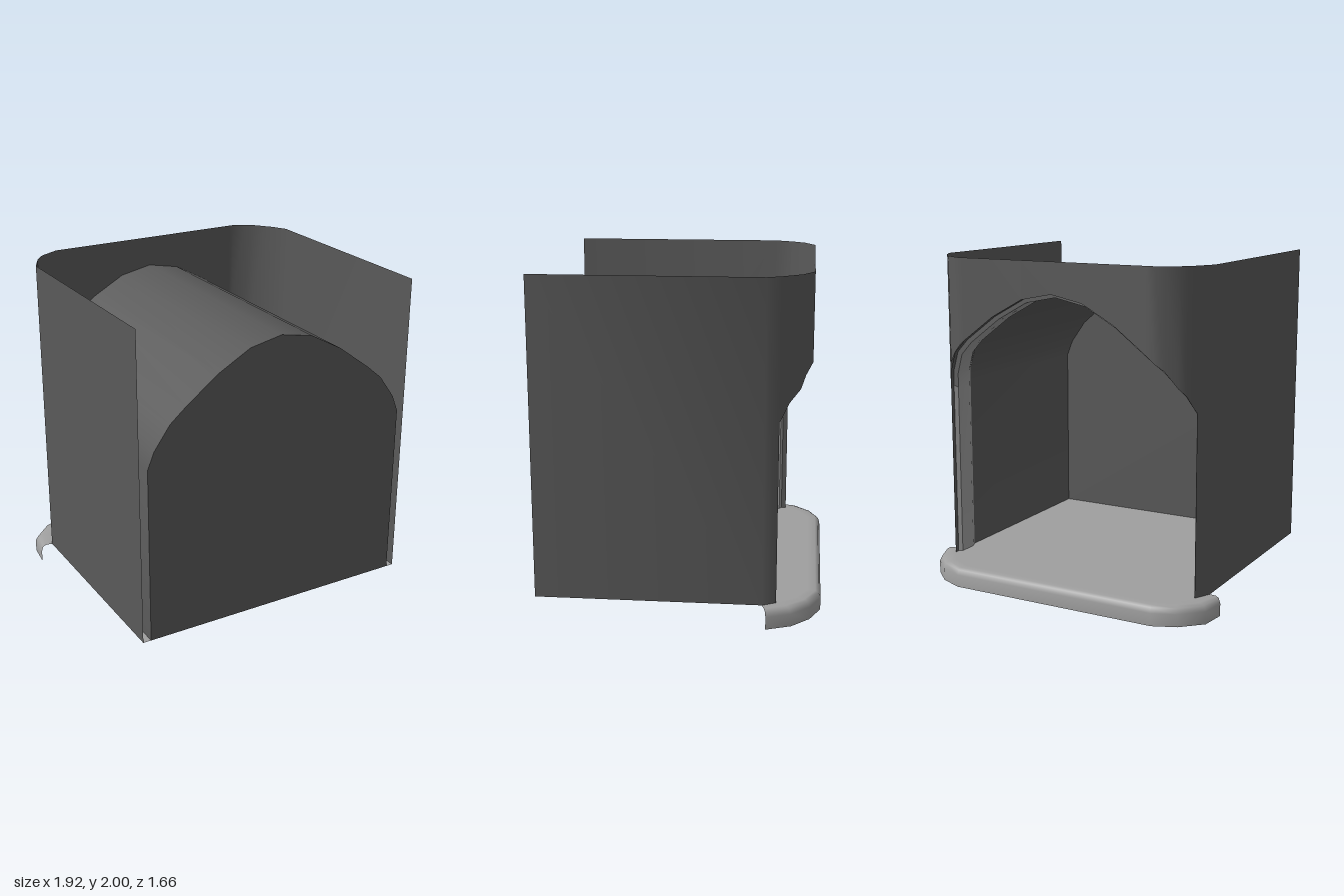
import * as THREE from 'three';
import { toCreasedNormals } from 'three/addons/utils/BufferGeometryUtils.js';

const FLOOR_Y = 0.115, TOP_Y = 2, FRONT_Z = 0.83, JAMB_X = 0.84;

// plan of the wall and of the outer step edge, as [x, z]
const WALL = [[-0.89, -0.49], [-0.83, -0.61], [-0.77, -0.685], [-0.65, -0.75],
  [0.63, -0.75], [0.75, -0.685], [0.835, -0.58], [0.885, -0.49]];
const STEP = [[-0.96, -0.5], [-0.94, -0.655], [-0.82, -0.77], [-0.68, -0.828],
  [0.645, -0.828], [0.79, -0.765], [0.9, -0.66], [0.96, -0.515]];

// arch of the opening, left half mirrored to the right, as [x, y]
const HALF = [[JAMB_X, 1.19], [0.8, 1.29], [0.7, 1.43], [0.6, 1.515], [0.4, 1.665], [0.2, 1.775]];
const ARCH = [...HALF.map(([x, y]) => [-x, y]), [0, 1.815], ...HALF.slice().reverse()];
const OPENING = [[-JAMB_X, FLOOR_Y], ...ARCH, [JAMB_X, FLOOR_Y]];

// linear interpolation along a list of [x, value]
function sample(list, x) {
  for (let i = 1; i < list.length; i++) {
    const [x0, v0] = list[i - 1], [x1, v1] = list[i];
    if (x <= x1) return v0 + (v1 - v0) * (x - x0) / (x1 - x0);
  }
  return list[list.length - 1][1];
}
const wallZ = (x) => sample(WALL, x);

// surface through rows of [x, y, z] points
function loft(rows, crease = 0.7) {
  const n = rows[0].length, index = [];
  for (let r = 0; r < rows.length - 1; r++) {
    for (let i = 0; i < n - 1; i++) {
      const a = r * n + i, b = a + n;
      index.push(a, b, a + 1, b, b + 1, a + 1);
    }
  }
  const g = new THREE.BufferGeometry();
  g.setAttribute('position', new THREE.Float32BufferAttribute(rows.flat(2), 3));
  g.setIndex(index);
  return toCreasedNormals(g, crease);
}

export function createModel() {
  const group = new THREE.Group();
  const dark = new THREE.MeshStandardMaterial({ color: 0x5a5a5a, side: THREE.DoubleSide });
  dark.name = 'dark grey';
  const light = new THREE.MeshStandardMaterial({ color: 0x9f9f9f, side: THREE.DoubleSide });
  light.name = 'light grey';
  const add = (name, geometry, material) => {
    const m = new THREE.Mesh(geometry, material);
    m.name = name;
    group.add(m);
    return m;
  };

  // outer wall: plain sides, rounded corners, arch cut out of the back
  const xs = [...new Set([...ARCH, ...WALL].map((p) => p[0]))].sort((a, b) => a - b);
  const columns = [[-0.89, FRONT_Z, FLOOR_Y]];
  for (const x of xs) {
    const z = wallZ(x), y = Math.abs(x) > JAMB_X ? FLOOR_Y : sample(ARCH, x);
    if (x === JAMB_X) columns.push([x, z, y], [x, z, FLOOR_Y]);
    else if (x === -JAMB_X) columns.push([x, z, FLOOR_Y], [x, z, y]);
    else columns.push([x, z, y]);
  }
  columns.push([0.885, FRONT_Z, FLOOR_Y]);
  add('outerWall', loft([
    columns.map(([x, z]) => [x, TOP_Y, z]),
    columns.map(([x, z, y]) => [x, y, z]),
  ]), dark);

  // vaulted tunnel running from the back wall to the front
  add('vault', loft([
    OPENING.map(([x, y]) => [x, y, wallZ(x)]),
    OPENING.map(([x, y]) => [x, y, FRONT_Z]),
  ]), dark);

  // flat wall closing the tunnel
  const endShape = new THREE.Shape(OPENING.map(([x, y]) => new THREE.Vector2(x, y)));
  add('endWall', new THREE.ShapeGeometry(endShape), dark).position.z = FRONT_Z;

  // raised trim lining the opening, as [inset, depth behind the wall]
  const trimProfile = [[0, 0.03], [0.022, 0.045], [0.022, 0.16], [0.004, 0.2]];
  add('archTrim', loft(trimProfile.map(([inset, depth]) => OPENING.map(([x, y]) => [
    x * (1 - inset / JAMB_X),
    FLOOR_Y + (y - FLOOR_Y) * (1 - inset / 1.7),
    wallZ(x) + depth,
  ])), 0.5), light);

  // floor slab between the walls
  const plan = [[-0.89, FRONT_Z], ...WALL, [0.885, FRONT_Z]];
  const floorShape = new THREE.Shape(plan.map(([x, z]) => new THREE.Vector2(x, -z)));
  const floor = add('floor', new THREE.ShapeGeometry(floorShape), light);
  floor.rotation.x = -Math.PI / 2;
  floor.position.y = FLOOR_Y;

  // rounded step around the back, as [distance outward, height]
  const stepProfile = [[0, FLOOR_Y], [0.6, FLOOR_Y], [0.85, 0.105], [1, 0.075], [1, 0]];
  add('doorStep', loft(stepProfile.map(([t, y]) => WALL.map(([x, z], i) => [
    x + (STEP[i][0] - x) * t, y, z + (STEP[i][1] - z) * t,
  ])), 1), light);

  return group;
}
